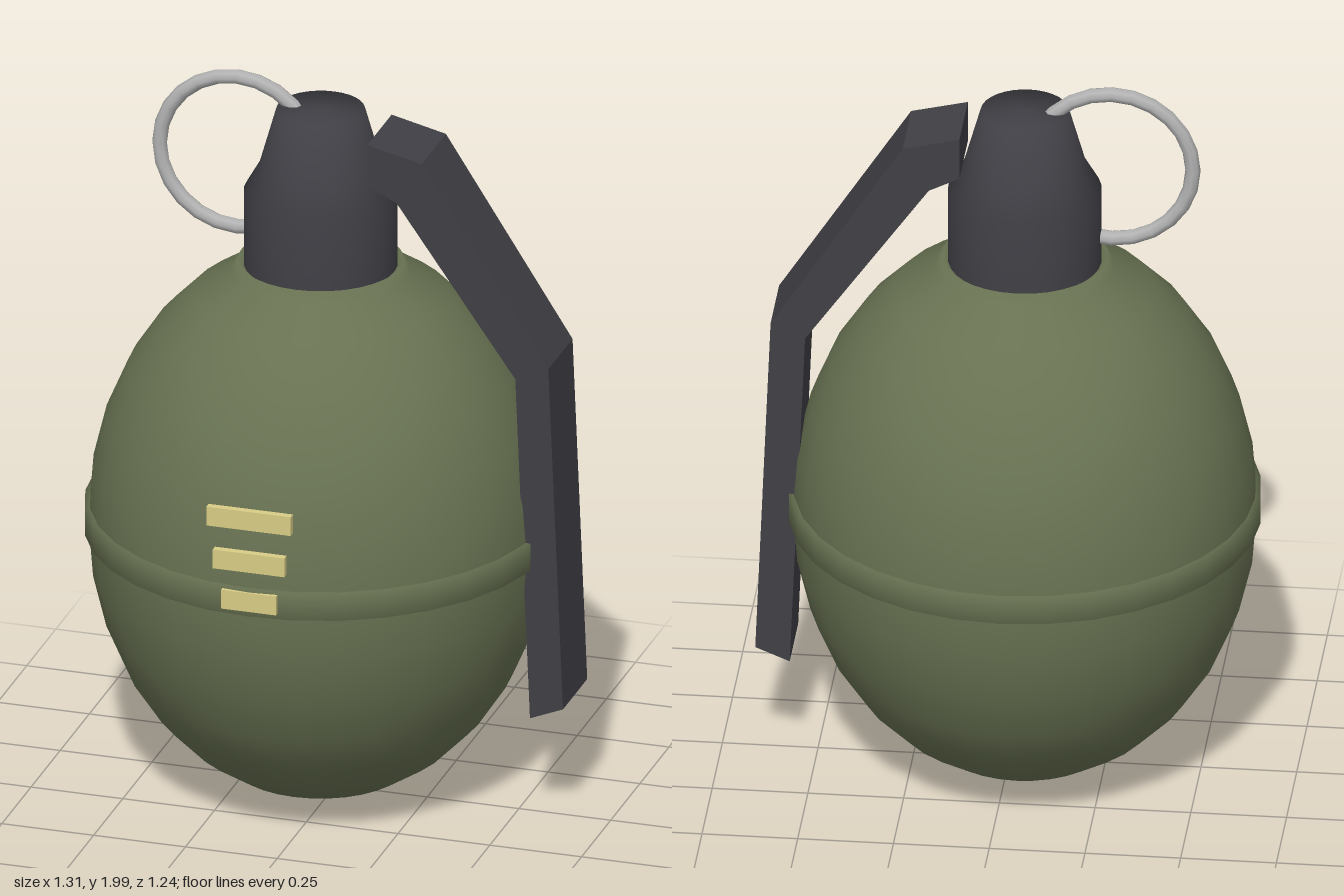
import * as THREE from 'three';

const AXIS = -0.04; // x of the body's axis

function material(name, color) {
  const m = new THREE.MeshStandardMaterial({ color });
  m.name = name;
  return m;
}

export function createModel() {
  const group = new THREE.Group();
  const olive = material('olive', 0x687252);
  const darkMetal = material('dark metal', 0x403f45);
  const steel = material('steel', 0xb2b2b2);
  const yellow = material('pale yellow', 0xd8cc85);

  const add = (name, geometry, mat, x = 0, y = 0, z = 0) => {
    const mesh = new THREE.Mesh(geometry, mat);
    mesh.name = name;
    mesh.position.set(x, y, z);
    group.add(mesh);
    return mesh;
  };
  const lathe = (points, segments = 32) =>
    new THREE.LatheGeometry(points.map(([r, y]) => new THREE.Vector2(r, y)), segments);

  // Egg-shaped body, ending in a small lip around the neck
  const profile = [];
  for (let i = 0; i <= 14; i++) {
    const a = (i / 16) * Math.PI;
    profile.push([0.605 * Math.sin(a), 0.765 - 0.757 * Math.cos(a)]);
  }
  profile.push([0.215, 1.495], [0.19, 1.475]);
  add('body', lathe(profile), olive, AXIS);

  // Raised seam around the middle
  add('seamBand', lathe([[0.59, 0.735], [0.615, 0.735], [0.615, 0.81], [0.59, 0.81]]), olive, AXIS);

  // Tapered neck with closed top
  add('neck', lathe([[0.2, 1.44], [0.2, 1.69], [0.16, 1.76], [0.115, 1.92], [0, 1.92]]), darkMetal, AXIS);

  // Bent safety lever, a constant-width strip
  const outline = [
    [0.12, 1.88], [0.12, 1.765], [0.2, 1.725], [0.523, 1.27],
    [0.563, 0.315], [0.653, 0.352], [0.613, 1.31], [0.268, 1.845],
  ].map(([x, y]) => new THREE.Vector2(x, y));
  const width = 0.208;
  add('lever', new THREE.ExtrudeGeometry(new THREE.Shape(outline), { depth: width, bevelEnabled: false }),
    darkMetal, 0, 0, -width / 2);

  // Pull ring and the pin through the neck
  add('pullRing', new THREE.TorusGeometry(0.212, 0.02, 8, 24), steel, -0.267, 1.768, 0);
  const pin = add('pin', new THREE.CylinderGeometry(0.015, 0.015, 0.3, 10), steel, 0.05, 1.737, 0);
  pin.rotation.z = Math.PI / 2;

  // Three painted marks on the front, wider toward the top
  [[0.777, 0.15], [0.888, 0.195], [1.007, 0.23]].forEach(([y, w], i) => {
    add(`frontMark${i + 1}`, new THREE.BoxGeometry(w, 0.053, 0.02), yellow, AXIS, y, 0.61);
  });

  return group;
}
